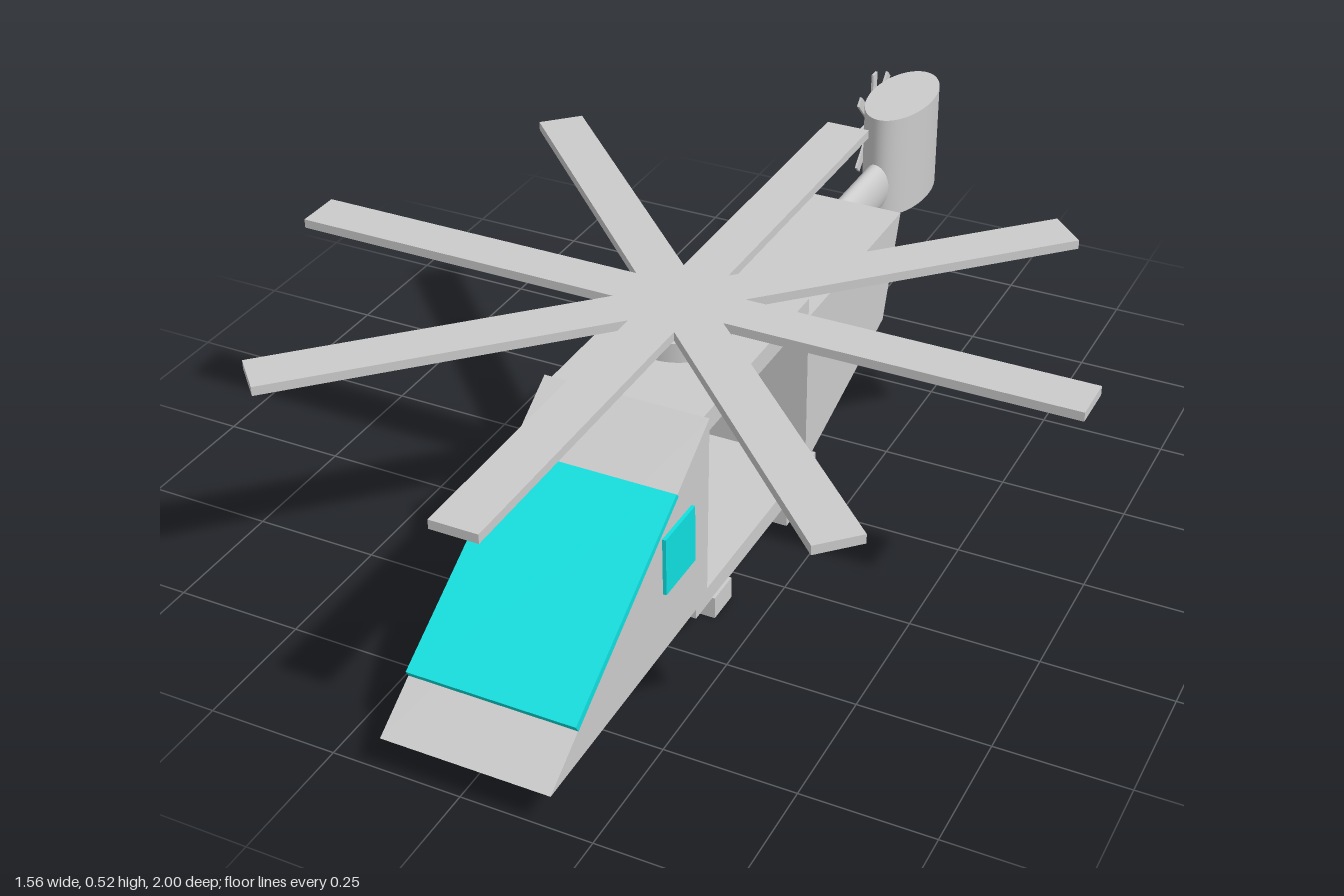
import * as THREE from 'three';

const grey = new THREE.MeshStandardMaterial({ color: 0xcccccc });
const glass = new THREE.MeshStandardMaterial({ color: 0x10e0e0 });

function add(parent, name, geometry, material = grey) {
  const mesh = new THREE.Mesh(geometry, material);
  mesh.name = name;
  parent.add(mesh);
  return mesh;
}

// Box given by its limits on each axis
function block([x0, x1], [y0, y1], [z0, z1]) {
  return new THREE.BoxGeometry(x1 - x0, y1 - y0, z1 - z0)
    .translate((x0 + x1) / 2, (y0 + y1) / 2, (z0 + z1) / 2);
}

// Side outline of [z, y] points, extruded across x
function sideProfile(points, x0, x1) {
  const shape = new THREE.Shape(points.map(([z, y]) => new THREE.Vector2(z, y)));
  return new THREE.ExtrudeGeometry(shape, { depth: x1 - x0, bevelEnabled: false })
    .rotateY(-Math.PI / 2).translate(x1, 0, 0);
}

// Upright disc centred on the rotor axis
function disc(radius, y0, y1) {
  return new THREE.CylinderGeometry(radius, radius, y1 - y0, 48).translate(0, (y0 + y1) / 2, 0);
}

export function createModel() {
  const model = new THREE.Group();
  model.name = 'helicopter';

  // Fuselage: wedge nose, open cabin between roof and floor, tapered rear
  add(model, 'nose', sideProfile([[1, 0.07], [0.413, 0.452], [0.426, 0.078]], -0.15, 0.175));
  add(model, 'cabinRoof', block([-0.14, 0.16], [0.405, 0.446], [-0.043, 0.418]));
  add(model, 'cabinFloor', block([-0.137, 0.167], [0.043, 0.08], [-0.077, 0.455]));
  add(model, 'rearBody', sideProfile(
    [[-0.043, 0.405], [-0.505, 0.405], [-0.43, 0.193], [-0.07, 0.079], [-0.043, 0.079]], -0.14, 0.16));

  // Glazing
  add(model, 'windshield', sideProfile(
    [[0.535, 0.366], [0.543, 0.375], [0.912, 0.147], [0.904, 0.133]], -0.149, 0.176), glass);
  add(model, 'sideWindows', block([-0.155, 0.182], [0.2, 0.316], [0.485, 0.597]), glass);

  // Cross skids
  for (const z of [0.32, 0.002]) {
    add(model, 'skid', block([-0.146, 0.173], [0, 0.045], [z, z + 0.07]));
  }

  // Main rotor: four full-length bars make eight blades
  const rotor = new THREE.Group();
  rotor.name = 'mainRotor';
  rotor.position.set(0, 0, 0.18);
  add(rotor, 'rotorBase', disc(0.096, 0.445, 0.485));
  add(rotor, 'rotorMast', disc(0.048, 0.485, 0.51));
  for (let i = 0; i < 4; i++) {
    const bar = add(rotor, 'rotorBlades', new THREE.BoxGeometry(1.56, 0.018, 0.092));
    bar.position.y = 0.516;
    bar.rotation.y = i * Math.PI / 4;
  }
  model.add(rotor);

  // Tail boom and fin, both oval in section
  add(model, 'tailBoom', new THREE.CylinderGeometry(1, 1, 0.36, 48)
    .rotateX(Math.PI / 2).scale(0.029, 0.054, 1).translate(0.012, 0.324, -0.6));
  add(model, 'tailFin', new THREE.CylinderGeometry(1, 1, 0.228, 64)
    .scale(0.068, 1, 0.135).translate(0.016, 0.371, -0.865));

  // Tail rotor on the right side of the fin
  const tailRotor = new THREE.Group();
  tailRotor.name = 'tailRotor';
  tailRotor.position.set(-0.054, 0.405, -0.873);
  add(tailRotor, 'tailRotorHub', new THREE.CylinderGeometry(0.022, 0.022, 0.012, 24).rotateZ(Math.PI / 2));
  for (let i = 0; i < 4; i++) {
    const bar = add(tailRotor, 'tailRotorBlades', new THREE.BoxGeometry(0.005, 0.23, 0.022));
    bar.rotation.x = i * Math.PI / 4;
  }
  model.add(tailRotor);

  return model;
}
